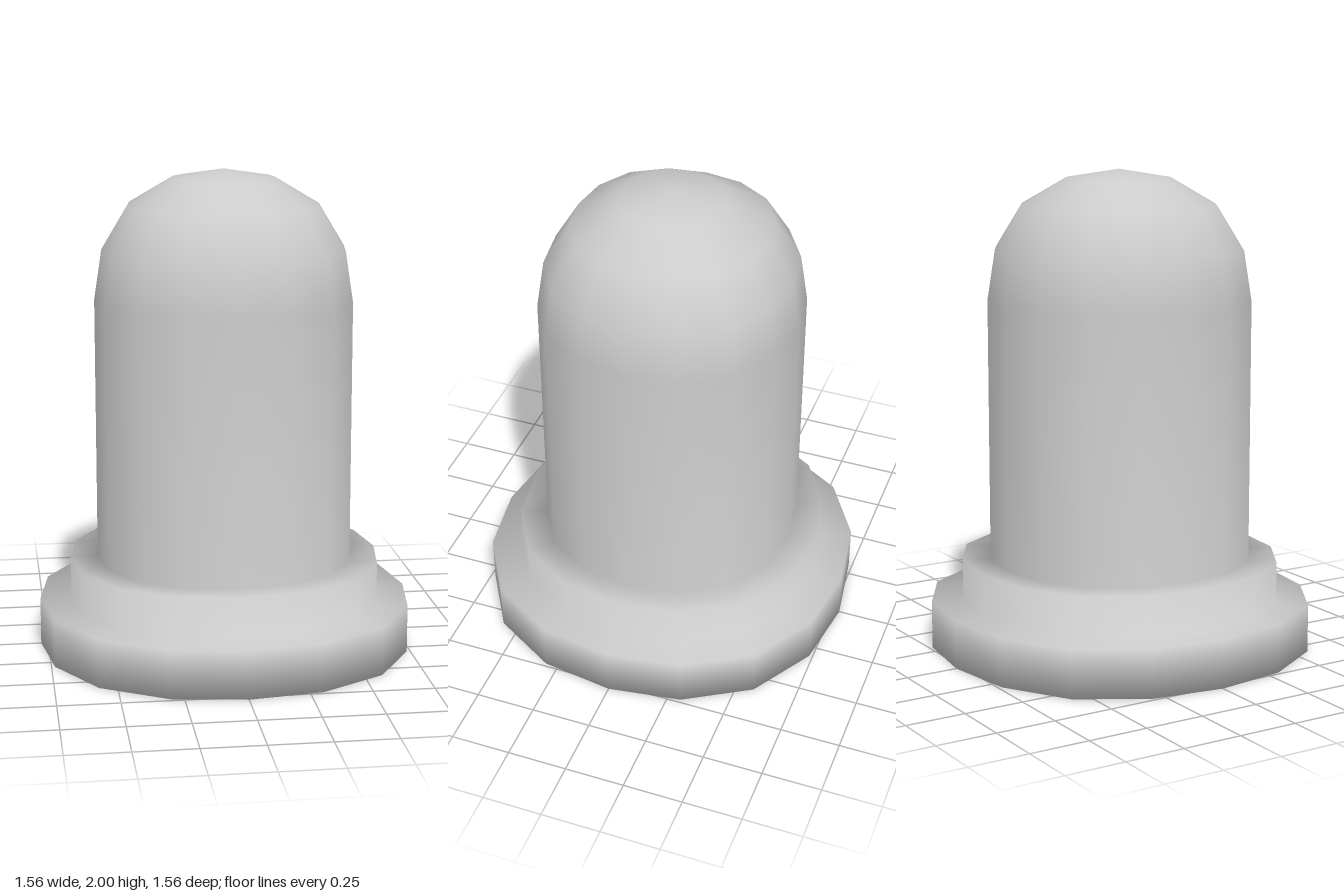
import * as THREE from 'three';
import { mergeVertices } from 'three/addons/utils/BufferGeometryUtils.js';

const SIDES = 16;

// Profile from the centre of the underside up to the tip: [radius, height]
const PROFILE = [
  [0, 0], [0.78, 0], [0.78, 0.2],        // base flange
  [0.65, 0.2], [0.65, 0.376],            // collar
  [0.535, 0.376], [0.535, 1.47],         // straight barrel
  [0.503, 1.677], [0.397, 1.853], [0.212, 1.964], [0, 2], // dome
];

// Swell each ring slightly towards its diagonals, leaving the axes as they are
function swellDiagonals(geometry, amount) {
  const p = geometry.attributes.position;
  for (let i = 0; i < p.count; i++) {
    const angle = Math.atan2(p.getZ(i), p.getX(i));
    const k = 1 + amount * (1 - Math.cos(4 * angle)) / 2;
    p.setXYZ(i, p.getX(i) * k, p.getY(i), p.getZ(i) * k);
  }
}

export function createModel() {
  const group = new THREE.Group();
  group.name = 'domedPost';

  // One continuous surface: flange, collar, barrel and dome share smooth normals
  let geometry = new THREE.LatheGeometry(
    PROFILE.map(([r, y]) => new THREE.Vector2(r, y)), SIDES);
  swellDiagonals(geometry, 0.04);

  // Weld the seam and poles so shading runs on without a break
  geometry.deleteAttribute('uv');
  geometry.deleteAttribute('normal');
  geometry = mergeVertices(geometry, 1e-4);
  geometry.computeVertexNormals();

  const body = new THREE.Mesh(geometry, new THREE.MeshStandardMaterial({ color: 0xcccccc }));
  body.name = 'body';
  group.add(body);
  return group;
}
